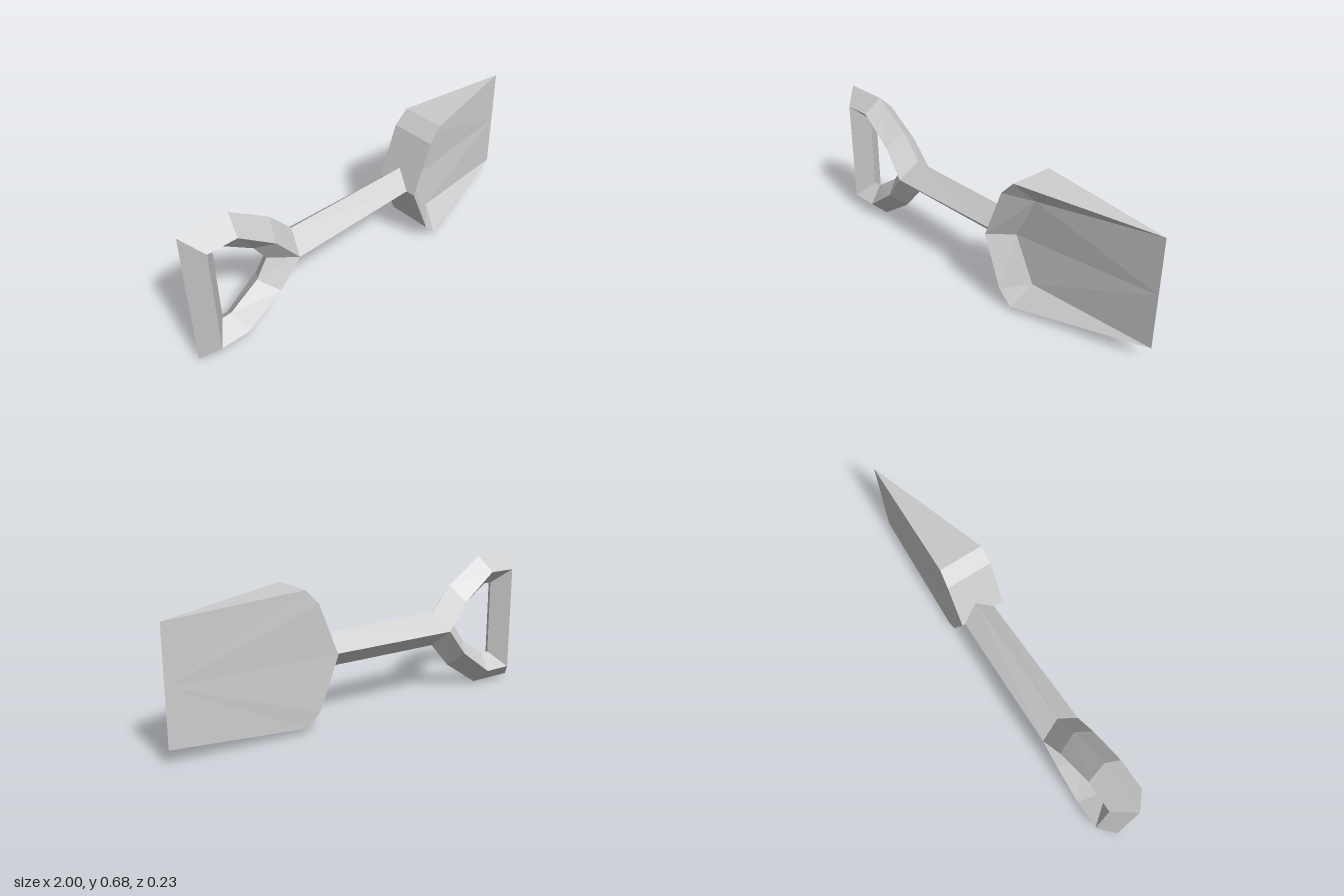
import * as THREE from 'three';

const MID = 0.34; // height of the symmetry plane
const RIDGE = -0.016; // z of the outer and inner ridges of the bars

const metal = new THREE.MeshStandardMaterial({ color: 0xcccccc });
metal.name = 'light grey';

const flip = ([x, y, z]) => [x, 2 * MID - y, z];

// Flat-shaded mesh from convex polygons given as corner lists
function polyMesh(name, polygons) {
  const pos = [];
  for (const p of polygons)
    for (let i = 1; i < p.length - 1; i++) pos.push(...p[0], ...p[i], ...p[i + 1]);
  const geo = new THREE.BufferGeometry();
  geo.setAttribute('position', new THREE.Float32BufferAttribute(pos, 3));
  geo.computeVertexNormals();
  const mesh = new THREE.Mesh(geo, metal);
  mesh.name = name;
  return mesh;
}

// Skin joining a row of equal-sized cross-sections
function loft(name, sections) {
  const polygons = [];
  for (let s = 0; s < sections.length - 1; s++) {
    const a = sections[s], b = sections[s + 1];
    a.forEach((p, i) => {
      const j = (i + 1) % a.length;
      polygons.push([p, a[j], b[j], b[i]]);
    });
  }
  return polyMesh(name, polygons);
}

// Polygons of the upper half together with their mirror images below
const mirrored = (polys) => [...polys, ...polys.map((p) => p.map(flip).reverse())];

// Diamond section: outer ridge, front, inner ridge, back
const diamond = ([ox, oy], [mx, my], [ix, iy], front, back) => [
  [ox, oy, RIDGE], [mx, my, front], [ix, iy, RIDGE], [mx, my, back],
];

export function createModel() {
  const group = new THREE.Group();
  group.name = 'shovel';

  // D-shaped handle: upper arm sections, mirrored for the lower arm
  const arm = [
    diamond([-1, 0.68], [-0.925, 0.605], [-0.855, 0.53], 0.066, -0.1),
    diamond([-0.76, 0.68], [-0.78, 0.605], [-0.81, 0.53], 0.066, -0.1),
    diamond([-0.565, 0.55], [-0.6, 0.475], [-0.66, 0.43], 0.072, -0.106),
    diamond([-0.455, 0.427], [-0.49, MID], [-0.6, MID], 0.081, -0.114),
  ];
  const lowerArm = arm.map((s) => s.map(flip)).reverse();
  group.add(loft('handle', [...lowerArm, ...arm]));

  // Shaft, tapering slightly towards the blade
  group.add(loft('shaft', [
    diamond([-0.455, 0.427], [-0.49, MID], [-0.455, 0.253], 0.081, -0.114),
    diamond([0.22, 0.422], [0.187, MID], [0.22, 0.258], 0.066, -0.1),
  ]));

  // Blade corners, upper half: front rim, back rim, pan and cutting edge
  const rim = (z, zTop) => [[0.187, MID, z], [0.287, 0.59, z], [0.352, 0.658, zTop]];
  const [p0, p1, p2] = rim(0.115, 0.109);
  const [q0, q1, q2] = rim(-0.115, -0.109);
  const i0 = [0.285, MID, 0.013], i1 = [0.395, 0.555, 0.013];
  const tip = [1, 0.61, -0.079], tipMid = [1, MID, -0.079];

  const blade = new THREE.Group();
  blade.name = 'blade';
  blade.add(
    polyMesh('bladeWall', mirrored([[p0, p1, q1, q0], [p1, p2, q2, q1], [p2, tip, q2]])),
    polyMesh('bladeLip', mirrored([[p0, i0, i1, p1], [p1, i1, p2], [p2, i1, tip]])),
    polyMesh('bladePan', mirrored([[i0, tipMid, i1], [i1, tipMid, tip]])),
    polyMesh('bladeBack', mirrored([[q0, q1, tipMid], [q1, q2, tipMid], [q2, tip, tipMid]])),
  );
  group.add(blade);
  return group;
}
